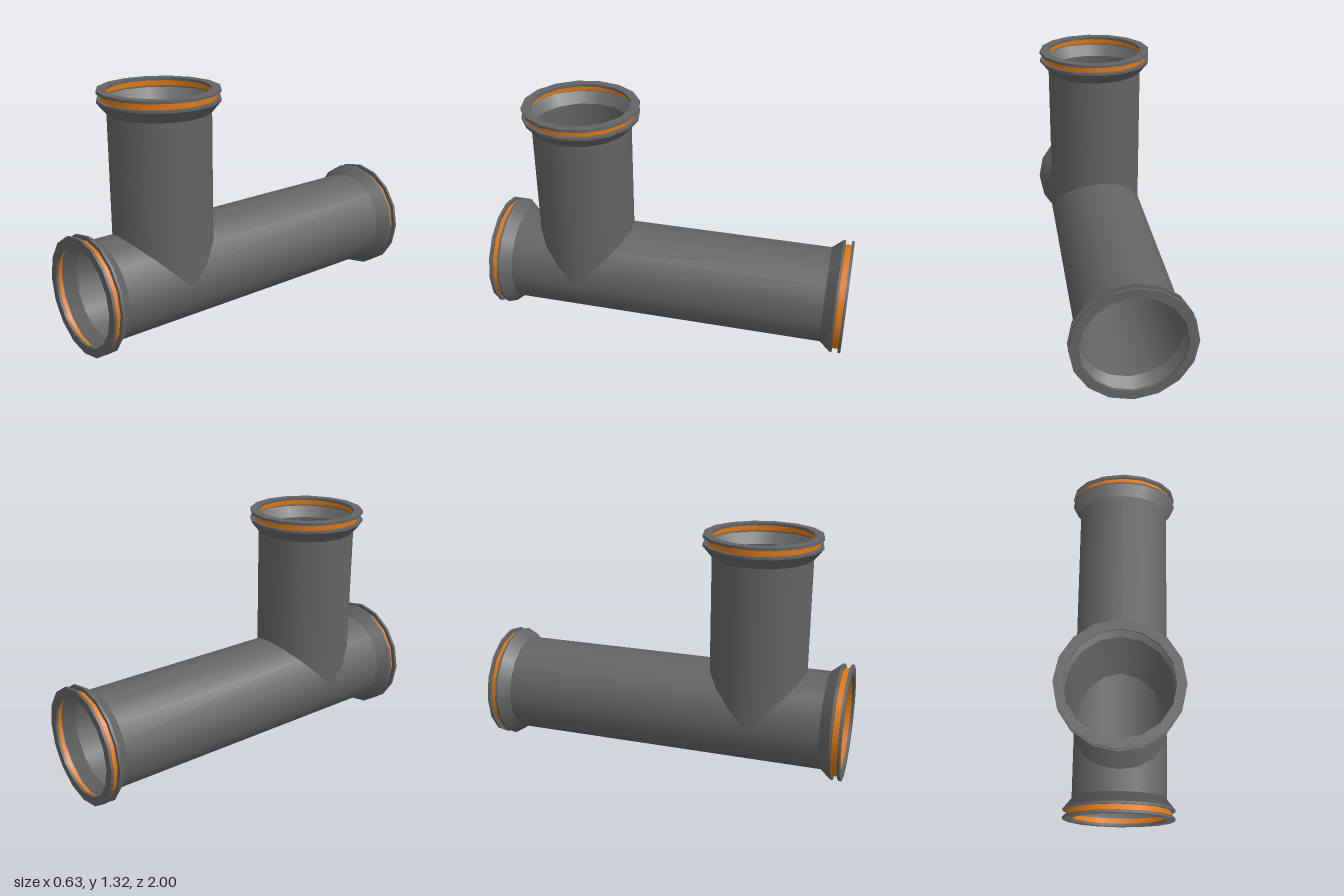
import * as THREE from 'three';

const SIDES = 16;
const PIPE = 0.267, LIP = 0.315, SEAL = 0.293; // radii
const COLLAR = 0.118;                          // collar length along the pipe
const AXIS_Y = 0.315, JOINT_Z = 0.5;           // where the pipe axes meet

export function createModel() {
  const grey = new THREE.MeshStandardMaterial({ color: 0x646464, side: THREE.DoubleSide });
  grey.name = 'dark grey metal';
  const orange = new THREE.MeshStandardMaterial({ color: 0xe07810, side: THREE.DoubleSide });
  orange.name = 'orange seal';

  // One straight band of revolution, so every edge between bands stays sharp
  function band(name, r1, y1, r2, y2, material = grey) {
    const geo = new THREE.LatheGeometry(
      [new THREE.Vector2(r1, y1), new THREE.Vector2(r2, y2)], SIDES);
    const mesh = new THREE.Mesh(geo, material);
    mesh.name = name;
    return mesh;
  }

  // Flared collar with a grooved seal; its open end lies at height "end"
  function collar(end) {
    const g = new THREE.Group();
    g.name = 'collar';
    const y = (d) => end - d;
    g.add(
      band('flare', PIPE, y(COLLAR), LIP, y(0.06)),
      band('lowerLipEdge', LIP, y(0.06), LIP, y(0.047)),
      band('lowerLipFace', LIP, y(0.047), SEAL, y(0.047)),
      band('seal', SEAL, y(0.047), SEAL, y(0.015), orange),
      band('rimUnderside', PIPE, y(0.015), LIP, y(0.015)),
      band('rimEdge', LIP, y(0.015), LIP, end),
      band('rimFace', LIP, end, PIPE, end),
      band('rimBore', PIPE, end, PIPE, y(0.015)),
    );
    return g;
  }

  // Pipe arm along +y from the joint; mitre(z) gives the height of its cut start
  function arm(name, length, mitre) {
    const g = new THREE.Group();
    g.name = name;
    const pipe = band('pipe', PIPE, 0, PIPE, length - COLLAR);
    const pos = pipe.geometry.attributes.position;
    for (let i = 0; i < pos.count; i++) {
      if (pos.getY(i) === 0) pos.setY(i, mitre(pos.getZ(i)));
    }
    g.add(pipe, collar(length));
    g.position.set(0, AXIS_Y, JOINT_Z);
    return g;
  }

  const model = new THREE.Group();
  model.name = 'pipeTee';

  const branch = arm('uprightBranch', 1.0, (z) => Math.abs(z));
  const front = arm('frontArm', 0.5, (z) => Math.max(0, -z));
  front.rotation.x = Math.PI / 2;
  const back = arm('backArm', 1.5, (z) => Math.max(0, z));
  back.rotation.x = -Math.PI / 2;

  model.add(branch, front, back);
  return model;
}
